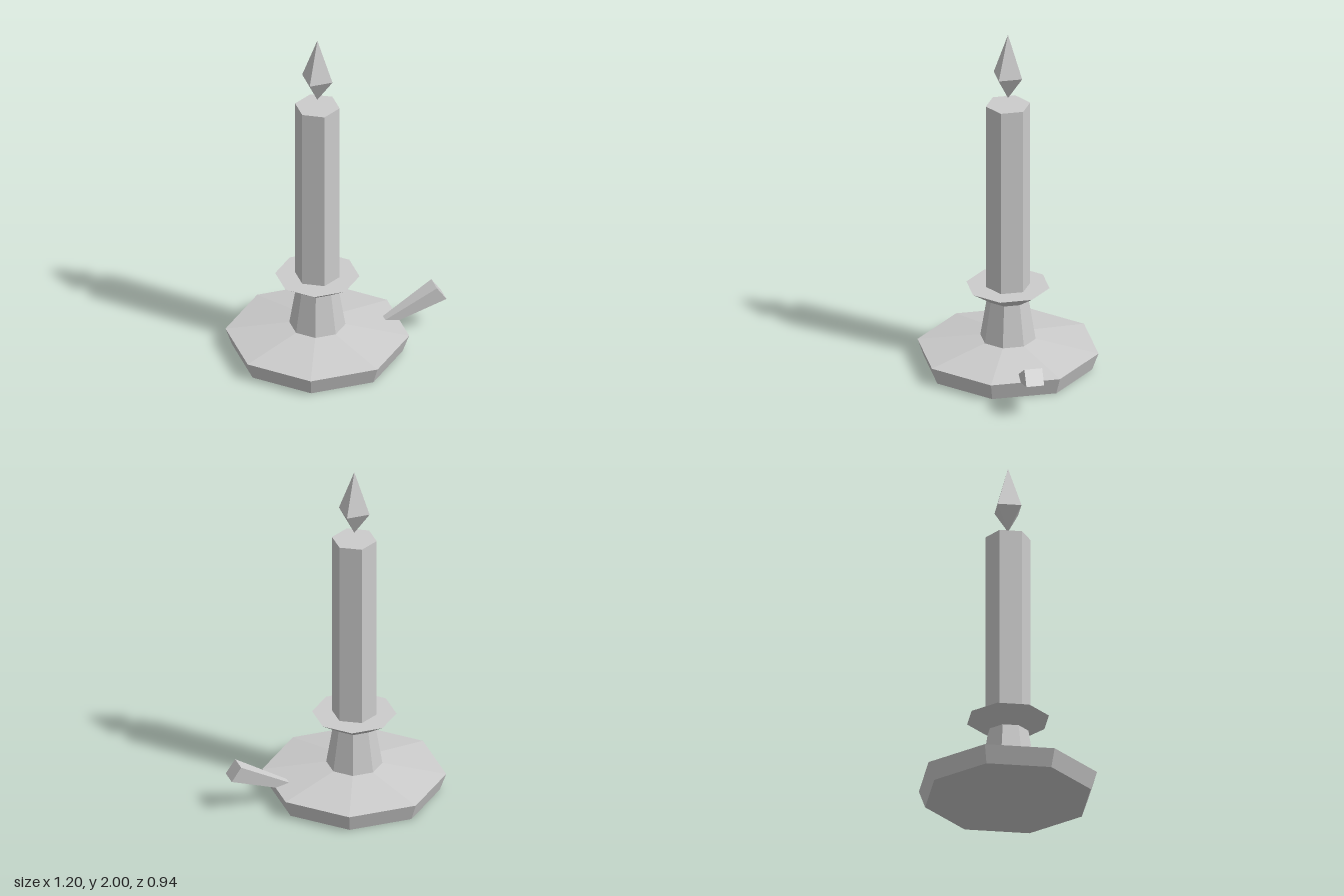
import * as THREE from 'three';

const AXIS_X = -0.132;
const OCT = 1 / Math.cos(Math.PI / 8); // flat-to-centre distance -> corner radius

export function createModel() {
  const model = new THREE.Group();
  const material = new THREE.MeshStandardMaterial({ color: 0xcccccc, flatShading: true });

  function add(name, geometry, x = 0, y = 0) {
    const mesh = new THREE.Mesh(geometry, material);
    mesh.name = name;
    mesh.position.set(x, y, 0);
    model.add(mesh);
  }

  // Faceted turned part from [radius, y] pairs, listed bottom to top
  function turned(name, profile, sides, scale) {
    const points = profile.map(([r, y]) => new THREE.Vector2(r * scale, y));
    add(name, new THREE.LatheGeometry(points, sides, Math.PI / sides), AXIS_X);
  }

  // Octagonal candlestick
  turned('base', [[0, 0], [0.435, 0], [0.468, 0.1], [0.143, 0.16], [0, 0.16]], 8, OCT);
  turned('neck', [[0.143, 0.16], [0.107, 0.397]], 8, OCT);
  turned('dripTray', [[0, 0.397], [0.107, 0.397], [0.215, 0.475], [0, 0.475]], 8, OCT);

  // Hexagonal candle with corners to the front and back
  add('candle', new THREE.CylinderGeometry(0.125, 0.125, 1.1, 6), AXIS_X, 1.025);

  // Four-sided flame floating above the candle
  turned('flame', [[0, 1.615], [0.066, 1.753], [0, 2]], 4, Math.SQRT2);

  // Handle: a box reshaped so it widens from the base to its raised outer end
  const handle = new THREE.BoxGeometry(1, 1, 1);
  const pos = handle.attributes.position;
  for (let i = 0; i < pos.count; i++) {
    const outer = pos.getX(i) > 0;
    const top = pos.getY(i) > 0;
    const [x, y] = outer ? (top ? [0.545, 0.28] : [0.6, 0.2]) : (top ? [0.25, 0.112] : [0.275, 0.078]);
    pos.setXYZ(i, x, y, Math.sign(pos.getZ(i)) * (outer ? 0.05 : 0.021));
  }
  handle.computeVertexNormals();
  add('handle', handle);

  return model;
}
